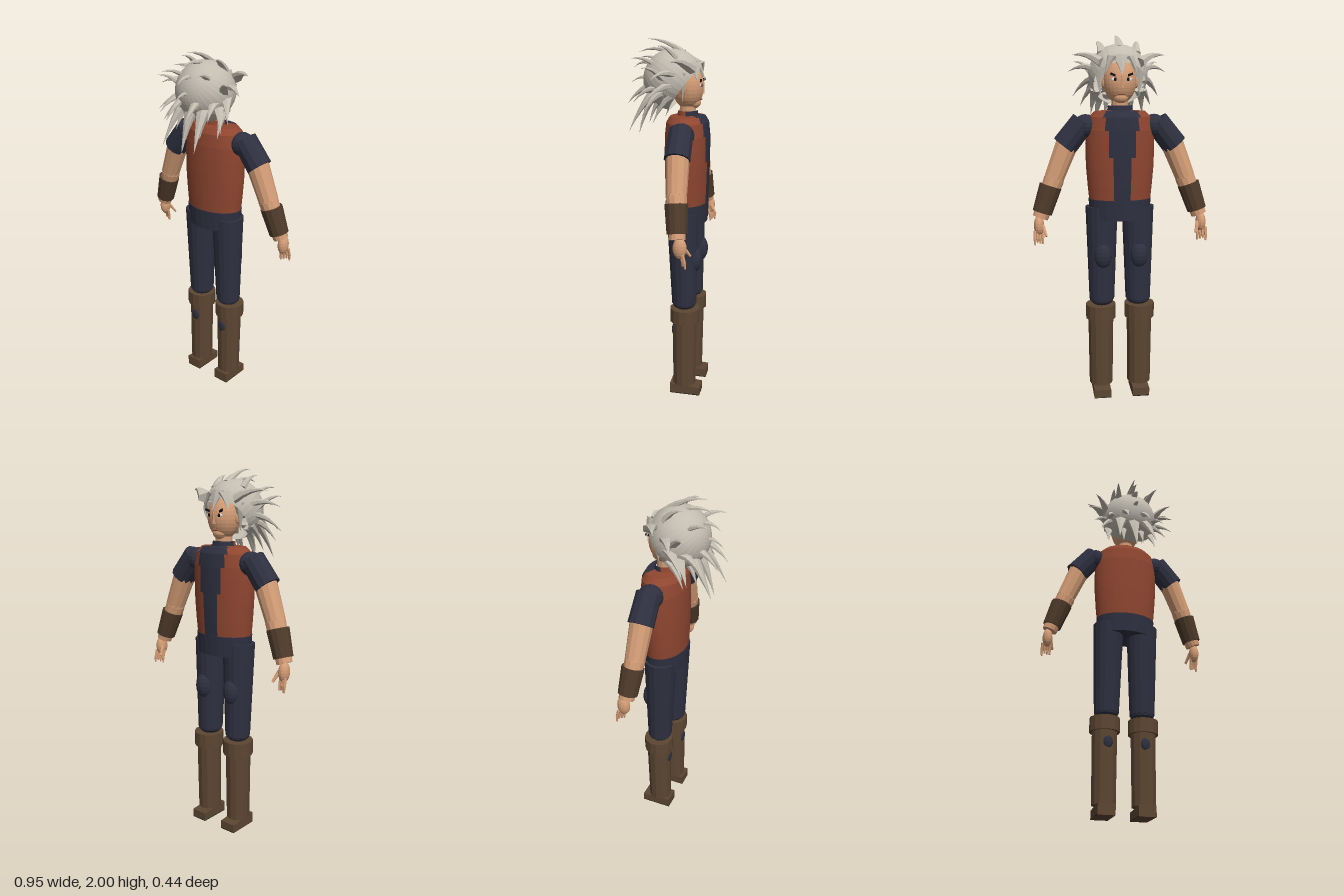
import * as THREE from 'three';

const mat = (name, color) => Object.assign(new THREE.MeshStandardMaterial({ color }), { name });
const V = (x, y, z) => new THREE.Vector3(x, y, z);

export function createModel() {
  const model = new THREE.Group();
  model.name = 'standingFigure';
  const hair = mat('silver hair', 0xc2bcb0), vest = mat('rust vest', 0x8f4630);
  const navy = mat('navy cloth', 0x2e3040), skin = mat('skin', 0xd49d76);
  const boot = mat('boot leather', 0x5c4632), bracer = mat('bracer leather', 0x4f3b2b);
  const black = mat('black', 0x15141a), white = mat('eye white', 0xe8e4dc), lip = mat('lip', 0xa86c4e);
  hair.side = THREE.DoubleSide;

  // faceted mesh
  function add(name, geo, material, parent = model) {
    const g = geo.index ? geo.toNonIndexed() : geo;
    g.computeVertexNormals();
    const m = new THREE.Mesh(g, material);
    m.name = name;
    parent.add(m);
    return m;
  }
  // tapered rod from a to b
  function rod(name, material, a, b, ra, rb, seg = 12, parent = model) {
    const m = add(name, new THREE.CylinderGeometry(rb, ra, a.distanceTo(b), seg), material, parent);
    m.position.copy(a).lerp(b, 0.5);
    m.quaternion.setFromUnitVectors(V(0, 1, 0), b.clone().sub(a).normalize());
    return m;
  }
  function ball(name, material, p, r, parent = model, seg = 14) {
    const m = add(name, new THREE.SphereGeometry(1, seg, Math.ceil(seg * 0.7)), material, parent);
    m.position.copy(p);
    m.scale.copy(r);
    return m;
  }

  // torso cross-sections: y, half width, half depth, half width of the open front
  const rings = [
    [1.1, 0.166, 0.112, 0.045], [1.2, 0.176, 0.117, 0.045], [1.3, 0.184, 0.12, 0.052],
    [1.36, 0.186, 0.121, 0.06], [1.43, 0.187, 0.121, 0.072], [1.5, 0.185, 0.12, 0.095],
    [1.57, 0.168, 0.113, 0.1], [1.6, 0.135, 0.095, 0.1], [1.605, 0.068, 0.056, 0.1], [1.63, 0.064, 0.052, 0.1],
  ];
  const N = 48, pos = [], red = [], dark = [];
  for (const [y, rx, rz] of rings)
    for (let i = 0; i < N; i++) {
      const a = (i / N) * Math.PI * 2;
      pos.push(rx * Math.sin(a), y, -0.1 - rz * Math.cos(a));
    }
  for (let r = 0; r < rings.length - 1; r++)
    for (let i = 0; i < N; i++) {
      const a = ((i + 0.5) / N) * Math.PI * 2, j = (i + 1) % N;
      const open = Math.cos(a) > 0 && Math.abs(rings[r][1] * Math.sin(a)) < rings[r][3];
      const p = r * N + i, q = r * N + j;
      (open ? dark : red).push(p, p + N, q, q, p + N, q + N);
    }
  const torso = new THREE.BufferGeometry();
  torso.setAttribute('position', new THREE.Float32BufferAttribute(pos, 3));
  torso.setIndex([...red, ...dark]);
  torso.addGroup(0, red.length, 0);
  torso.addGroup(red.length, dark.length, 1);
  add('torso', torso, [vest, navy]);

  // hips
  const hips = add('hips', new THREE.CylinderGeometry(0.172, 0.165, 0.11, 24), navy);
  hips.position.set(0, 1.075, -0.1);
  hips.scale.z = 0.69;
  rod('neck', skin, V(0, 1.58, -0.1), V(0, 1.7, -0.1), 0.046, 0.044);

  for (const s of [1, -1]) {
    const P = (x, y, z) => V(s * x, y, z);
    const side = s > 0 ? 'left' : 'right';

    // leg and boot
    const leg = new THREE.Group();
    leg.name = side + 'Leg';
    model.add(leg);
    rod('trouserLeg', navy, P(0.102, 0.56, -0.108), P(0.1, 1.085, -0.096), 0.07, 0.089, 16, leg);
    ball('trouserHem', navy, P(0.103, 0.56, -0.108), V(0.068, 0.04, 0.068), leg);
    ball('kneePatch', navy, P(0.1, 0.82, -0.16), V(0.05, 0.075, 0.045), leg);
    rod('bootShaft', boot, P(0.109, 0.06, -0.113), P(0.109, 0.46, -0.113), 0.066, 0.071, 12, leg);
    rod('bootCuff', boot, P(0.109, 0.45, -0.114), P(0.109, 0.53, -0.114), 0.084, 0.084, 14, leg);
    ball('calfSpot', navy, P(0.104, 0.385, -0.049), V(0.027, 0.035, 0.012), leg, 10);
    const foot = new THREE.BoxGeometry(0.094, 0.06, 0.175);
    const fp = foot.attributes.position;
    for (let i = 0; i < fp.count; i++) if (fp.getY(i) > 0 && fp.getZ(i) < 0) fp.setY(i, 0.018);
    add('foot', foot, boot, leg).position.copy(P(0.109, 0.03, -0.123));
    add('sole', new THREE.BoxGeometry(0.094, 0.004, 0.175), black, leg).position.copy(P(0.109, 0.002, -0.123));

    // arm
    const arm = new THREE.Group();
    arm.name = side + 'Arm';
    model.add(arm);
    ball('shoulder', navy, P(0.185, 1.52, -0.103), V(0.064, 0.064, 0.068), arm);
    rod('sleeve', navy, P(0.197, 1.545, -0.105), P(0.3, 1.415, -0.106), 0.066, 0.069, 12, arm);
    rod('upperArm', skin, P(0.28, 1.44, -0.106), P(0.358, 1.245, -0.116), 0.062, 0.054, 12, arm);
    ball('elbow', skin, P(0.358, 1.24, -0.116), V(0.054, 0.054, 0.054), arm);
    rod('forearm', skin, P(0.358, 1.24, -0.116), P(0.436, 1.035, -0.138), 0.055, 0.042, 12, arm);
    rod('bracer', bracer, P(0.377, 1.205, -0.12), P(0.425, 1.062, -0.134), 0.061, 0.053, 12, arm);
    ball('palm', skin, P(0.444, 0.995, -0.152), V(0.028, 0.055, 0.036), arm);
    for (let i = 0; i < 4; i++) {
      const x = 0.424 + i * 0.014, z = -0.15 - i * 0.007;
      rod('finger', skin, P(x, 0.97, z), P(x + 0.002, 0.925, z - 0.012), 0.009, 0.008, 6, arm);
      rod('fingertip', skin, P(x + 0.002, 0.928, z - 0.012), P(x + 0.001, 0.895 + (i % 3) * 0.006, z - 0.014), 0.008, 0.005, 6, arm);
    }
    rod('thumb', skin, P(0.425, 1.0, -0.165), P(0.406, 0.945, -0.2), 0.011, 0.007, 6, arm);
  }

  // head and face
  const head = new THREE.Group();
  head.name = 'head';
  model.add(head);
  ball('face', skin, V(0, 1.755, -0.1), V(0.088, 0.118, 0.085), head, 24);
  ball('chin', skin, V(0, 1.672, -0.135), V(0.04, 0.032, 0.035), head);
  const nose = rod('nose', skin, V(0, 1.722, -0.18), V(0, 1.78, -0.18), 0.014, 0.004, 6, head);
  nose.rotation.x -= 0.15;
  ball('mouth', lip, V(0, 1.69, -0.171), V(0.022, 0.006, 0.006), head, 10);
  for (const s of [1, -1]) {
    ball('ear', skin, V(s * 0.088, 1.75, -0.09), V(0.013, 0.032, 0.02), head, 10);
    ball('eye', white, V(s * 0.036, 1.765, -0.175), V(0.018, 0.01, 0.005), head, 10);
    ball('iris', black, V(s * 0.034, 1.765, -0.179), V(0.008, 0.01, 0.004), head, 10);
    const brow = add('brow', new THREE.BoxGeometry(0.046, 0.011, 0.008), black, head);
    brow.position.set(s * 0.038, 1.786, -0.173);
    brow.rotation.set(0, s * 0.35, s * 0.35);
  }

  // hair shell, open towards the face
  const hairGroup = new THREE.Group();
  hairGroup.name = 'hair';
  model.add(hairGroup);
  const shell = add('hairShell', new THREE.SphereGeometry(0.161, 32, 20, 0, Math.PI * 2, 0, Math.PI * 0.665), hair, hairGroup);
  shell.position.set(0, 1.79, -0.02);
  shell.quaternion.setFromUnitVectors(V(0, 1, 0), V(0, 0.6, 0.8));

  // bent, slightly flattened lock of hair from base a to tip b
  function lock(a, b, r, bend = 0.02, flat = 0.6) {
    const len = a.distanceTo(b), geo = new THREE.ConeGeometry(r, len, 6, 4);
    const dir = b.clone().sub(a).normalize();
    const across = V(-dir.z, 0, dir.x).lengthSq() > 0.02 ? V(-dir.z, 0, dir.x).normalize() : V(1, 0, 0);
    const depth = across.clone().cross(dir).normalize();
    geo.scale(1, 1, flat).translate(0, len / 2, 0);
    geo.applyMatrix4(new THREE.Matrix4().makeBasis(across, dir, depth).setPosition(a));
    const p = geo.attributes.position, v = V(0, 0, 0);
    for (let i = 0; i < p.count; i++) {
      const t = THREE.MathUtils.clamp(v.fromBufferAttribute(p, i).sub(a).dot(dir) / len, 0, 1);
      p.setY(i, p.getY(i) + 4 * t * (1 - t) * bend);
    }
    add('hairLock', geo, hair, hairGroup);
  }
  // centre locks: base y, z, tip y, z, radius
  for (const [y, z, ty, tz, r] of [
    [1.925, -0.08, 2.0, 0.125, 0.03], [1.93, 0.0, 1.93, 0.17, 0.026], [1.87, 0.09, 1.85, 0.2, 0.026],
    [1.79, 0.1, 1.77, 0.215, 0.022], [1.71, 0.09, 1.49, 0.175, 0.042],
  ]) lock(V(0, y, z), V(0, ty, tz), r);
  // mirrored locks: base x, y, z, tip x, y, z, radius
  for (const [x, y, z, tx, ty, tz, r] of [
    [0.09, 1.9, -0.06, 0.11, 1.965, 0.045, 0.03],
    [0.08, 1.86, 0.05, 0.12, 1.9, 0.19, 0.026],
    [0.1, 1.85, -0.13, 0.255, 1.89, -0.05, 0.045],
    [0.13, 1.82, -0.04, 0.27, 1.805, 0.04, 0.036],
    [0.14, 1.8, 0.01, 0.235, 1.86, 0.1, 0.03],
    [0.13, 1.77, -0.03, 0.24, 1.675, 0.095, 0.036],
    [0.12, 1.73, 0.02, 0.2, 1.62, 0.1, 0.036],
    [0.12, 1.75, 0.05, 0.165, 1.68, 0.16, 0.03],
    [0.07, 1.73, 0.07, 0.11, 1.52, 0.2, 0.042],
    [0.05, 1.76, 0.09, 0.065, 1.66, 0.22, 0.034],
    [0.12, 1.71, -0.03, 0.145, 1.57, 0.06, 0.036],
    [0.05, 1.69, 0.04, 0.06, 1.56, 0.1, 0.034],
  ]) for (const s of [1, -1]) lock(V(s * x, y, z), V(s * tx, ty, tz), r);
  // fringe over the forehead and locks beside the temples
  lock(V(0, 1.885, -0.145), V(0, 1.785, -0.192), 0.05, 0.008, 0.4);
  for (const s of [1, -1]) {
    lock(V(s * 0.05, 1.88, -0.145), V(s * 0.085, 1.79, -0.165), 0.042, 0.008, 0.4);
    lock(V(s * 0.105, 1.83, -0.1), V(s * 0.105, 1.68, -0.09), 0.035, 0, 0.5);
  }
  return model;
}
